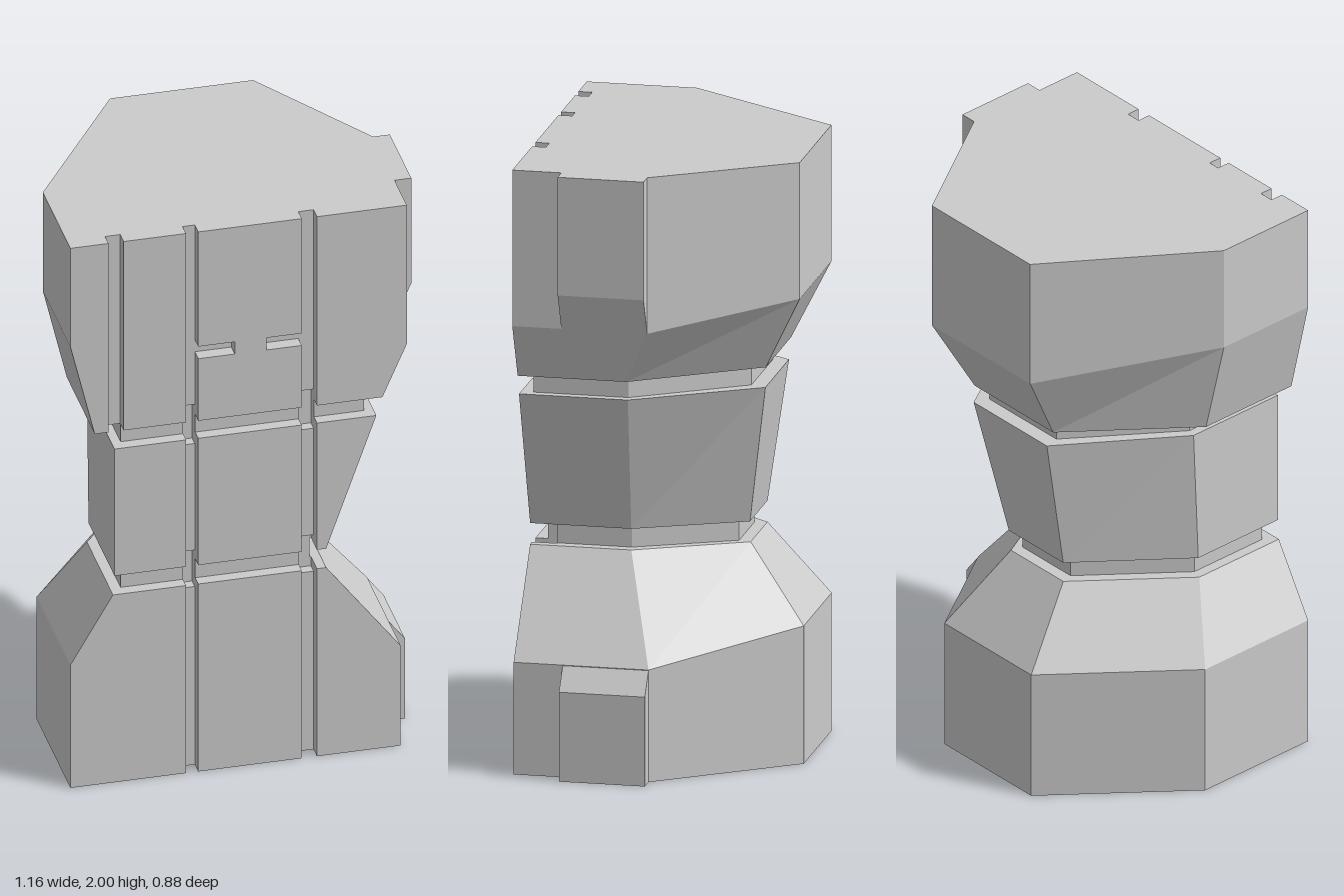
import * as THREE from 'three';

const material = new THREE.MeshStandardMaterial({ color: 0xcccccc, flatShading: true, side: THREE.DoubleSide });
const FRONT = 0.44, CORE = 0.36, FLOOR = 0.395;

function add(parent, name, geometry) {
  const mesh = new THREE.Mesh(geometry, material);
  mesh.name = name;
  parent.add(mesh);
}

// Faceted solid through stacked rings of [x, y, z], each counter-clockwise from above
function loft(rings) {
  const out = [], n = rings[0].length;
  const tri = (a, b, c) => out.push(...a, ...b, ...c);
  for (let r = 0; r < rings.length - 1; r++) {
    for (let i = 0; i < n; i++) {
      const j = (i + 1) % n, lo = rings[r], hi = rings[r + 1];
      tri(lo[i], lo[j], hi[j]);
      tri(lo[i], hi[j], hi[i]);
    }
  }
  const top = rings[rings.length - 1], bottom = rings[0];
  for (let i = 1; i < n - 1; i++) {
    tri(top[0], top[i], top[i + 1]);
    tri(bottom[0], bottom[i + 1], bottom[i]);
  }
  const geometry = new THREE.BufferGeometry();
  geometry.setAttribute('position', new THREE.Float32BufferAttribute(out, 3));
  geometry.computeVertexNormals();
  return geometry;
}

// Six-sided ring: flat front, two sides, two chamfers, flat back.
// Heights: right side, back, left side
function ring([yR, yB, yL], xR, zR, bR, zB, bL, xL, zL) {
  return [[xR, yR, CORE], [xR, yR, zR], [bR, yB, zB], [bL, yB, zB], [xL, yL, zL], [xL, yL, CORE]];
}
const flat = y => [y, y, y];

// Outline in x/y, extruded from z0 to z1
function slab(points, z0, z1) {
  const shape = new THREE.Shape(points.map(p => new THREE.Vector2(...p)));
  const geometry = new THREE.ExtrudeGeometry(shape, { depth: z1 - z0, bevelEnabled: false });
  return geometry.translate(0, 0, z0);
}
const rect = (x0, x1, y0, y1) => [[x0, y0], [x1, y0], [x1, y1], [x0, y1]];

export function createModel() {
  const model = new THREE.Group();
  model.name = 'carvedPillar';

  // Chamfered cores, from the ground up
  add(model, 'lowerCore', loft([
    ring(flat(0), 0.505, 0, 0.18, -0.435, -0.235, -0.58, 0),
    ring([0.37, 0.455, 0.455], 0.505, 0, 0.18, -0.435, -0.235, -0.58, 0),
    ring(flat(0.695), 0.26, 0.11, 0.08, -0.24, -0.17, -0.44, 0.1),
  ]));
  add(model, 'lowerNeckCore', loft([0.69, 0.77].map(y =>
    ring(flat(y), 0.225, 0.115, 0.07, -0.2, -0.16, -0.405, 0.11))));
  add(model, 'middleCore', loft([
    ring(flat(0.765), 0.26, 0.11, 0.09, -0.24, -0.17, -0.435, 0.1),
    ring(flat(1.235), 0.425, 0.085, 0.18, -0.31, -0.17, -0.435, 0.08),
  ]));
  add(model, 'upperNeckCore', loft([1.23, 1.305].map(y =>
    ring(flat(y), 0.395, 0.09, 0.16, -0.26, -0.16, -0.405, 0.09))));
  add(model, 'upperCore', loft([
    ring(flat(1.3), 0.445, 0.085, 0.175, -0.31, -0.2, -0.5, 0.075),
    ring([1.485, 1.55, 1.635], 0.525, 0, 0.24, -0.435, -0.23, -0.58, 0.08),
    ring(flat(2), 0.525, 0, 0.24, -0.435, -0.23, -0.58, 0.08),
  ]));

  // Ledges standing out on the left side
  add(model, 'upperLedge', slab([[0.5, 2], [0.5, 1.485], [0.525, 1.485], [0.58, 1.61], [0.58, 2]], 0, 0.28));
  add(model, 'lowerLedge', slab([[0.48, 0], [0.56, 0], [0.56, 0.295], [0.505, 0.368], [0.48, 0.368]], 0, 0.28));

  // Raised front panels; the gaps between them are the grooves
  const g = [-0.2, -0.16, 0.18, 0.23];
  const panels = {
    lowerPanel: [
      [[-0.58, 0], [g[0], 0], [g[0], 0.695], [-0.44, 0.695], [-0.58, 0.455]],
      rect(g[1], g[2], 0, 0.695),
      [[g[3], 0], [0.505, 0], [0.505, 0.37], [0.26, 0.695], [g[3], 0.695]],
    ],
    middlePanel: [
      rect(-0.435, g[0], 0.765, 1.235),
      rect(g[1], g[2], 0.765, 1.235),
      [[g[3], 0.765], [0.26, 0.765], [0.425, 1.235], [g[3], 1.235]],
    ],
    upperPanel: [
      [[-0.5, 1.3], [-0.455, 1.3], [-0.455, 2], [-0.58, 2], [-0.58, 1.635]],
      rect(-0.405, g[0], 1.3, 2),
      // Centre panel with a short slot cut in from each groove
      [[g[1], 1.3], [g[2], 1.3], [g[2], 1.53], [0.065, 1.53], [0.065, 1.575], [g[2], 1.575], [g[2], 2],
        [g[1], 2], [g[1], 1.575], [-0.04, 1.575], [-0.04, 1.53], [g[1], 1.53]],
      [[g[3], 1.3], [0.445, 1.3], [0.525, 1.485], [0.525, 2], [g[3], 2]],
    ],
  };
  for (const [name, outlines] of Object.entries(panels)) {
    for (const outline of outlines) add(model, name, slab(outline, CORE, FRONT));
  }

  // Shallower panels on the necks
  for (const [x0, x1] of [[-0.405, g[0]], [g[1], g[2]]]) {
    add(model, 'lowerNeckPanel', slab(rect(x0, x1, 0.69, 0.77), CORE, 0.4));
  }
  for (const [x0, x1] of [[-0.405, g[0]], [g[1], g[2]], [g[3], 0.395]]) {
    add(model, 'upperNeckPanel', slab(rect(x0, x1, 1.23, 1.305), CORE, 0.4));
  }

  // Groove floors, left deeper around the necks
  for (const [x0, x1] of [[g[0], g[1]], [g[2], g[3]]]) {
    for (const [y0, y1] of [[0, 0.66], [0.795, 1.19], [1.335, 2]]) {
      add(model, 'grooveFloor', slab(rect(x0, x1, y0, y1), CORE, FLOOR));
    }
  }
  add(model, 'sideGrooveFloor', slab(rect(-0.455, -0.405, 1.3, 2), CORE, FLOOR));
  for (const [x0, x1] of [[g[1], -0.04], [0.065, g[2]]]) {
    add(model, 'slotFloor', slab(rect(x0, x1, 1.53, 1.575), CORE, FLOOR));
  }
  return model;
}
